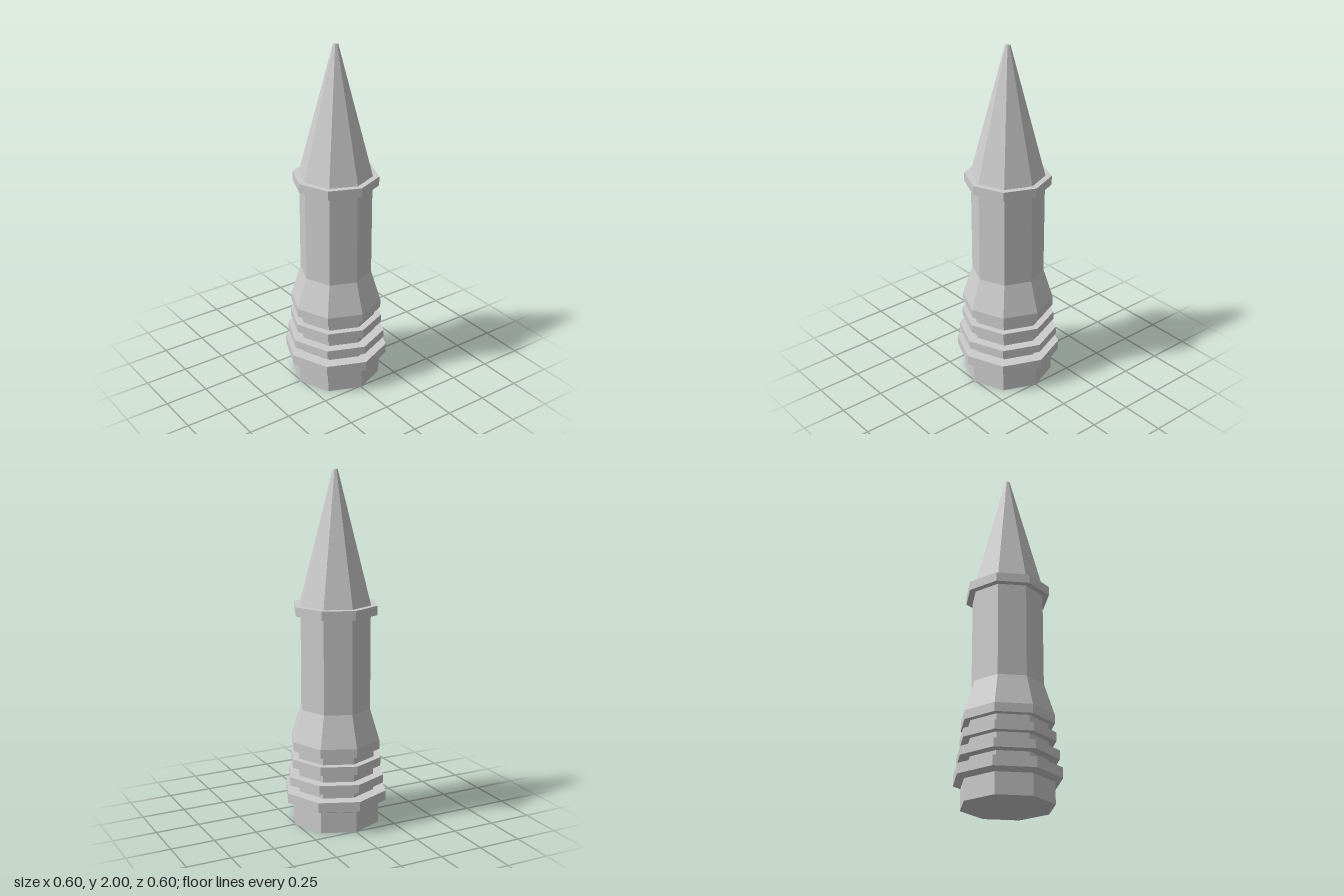
import * as THREE from 'three';

const SIDES = 8;

export function createModel() {
  const model = new THREE.Group();
  model.name = 'spikedPost';
  const grey = new THREE.MeshStandardMaterial({ color: 0xcccccc, flatShading: true });
  grey.name = 'lightGrey';

  // Octagonal turned part; profile is [radius, y] from bottom to top
  const turned = (name, profile) => {
    const points = profile.map(([r, y]) => new THREE.Vector2(r, y));
    const mesh = new THREE.Mesh(new THREE.LatheGeometry(points, SIDES), grey);
    mesh.name = name;
    model.add(mesh);
  };

  // Foot with its bevelled flange
  turned('base', [
    [0, 0], [0.258, 0], [0.258, 0.12], [0.3, 0.138], [0.3, 0.195], [0.227, 0.195],
  ]);

  // Grooved neck: a slim core carrying two rings
  const core = 0.227;
  const neck = [[core, 0.195]];
  for (const [r, low, high] of [[0.285, 0.242, 0.29], [0.268, 0.343, 0.392]]) {
    neck.push([core, low], [r, low], [r, high], [core, high]);
  }
  neck.push([core, 0.442]);
  turned('ringedNeck', neck);

  // Flared skirt tapering into the straight shaft
  turned('shaft', [
    [core, 0.442], [0.262, 0.442], [0.262, 0.492], [0.205, 0.673], [0.205, 1.212],
  ]);

  // Collar beneath the spike
  turned('collar', [
    [0.205, 1.212], [0.242, 1.212], [0.242, 1.264], [0.207, 1.264],
  ]);

  // Long spike with a small blunt tip
  turned('spike', [[0.207, 1.264], [0.014, 2], [0, 2]]);

  return model;
}
